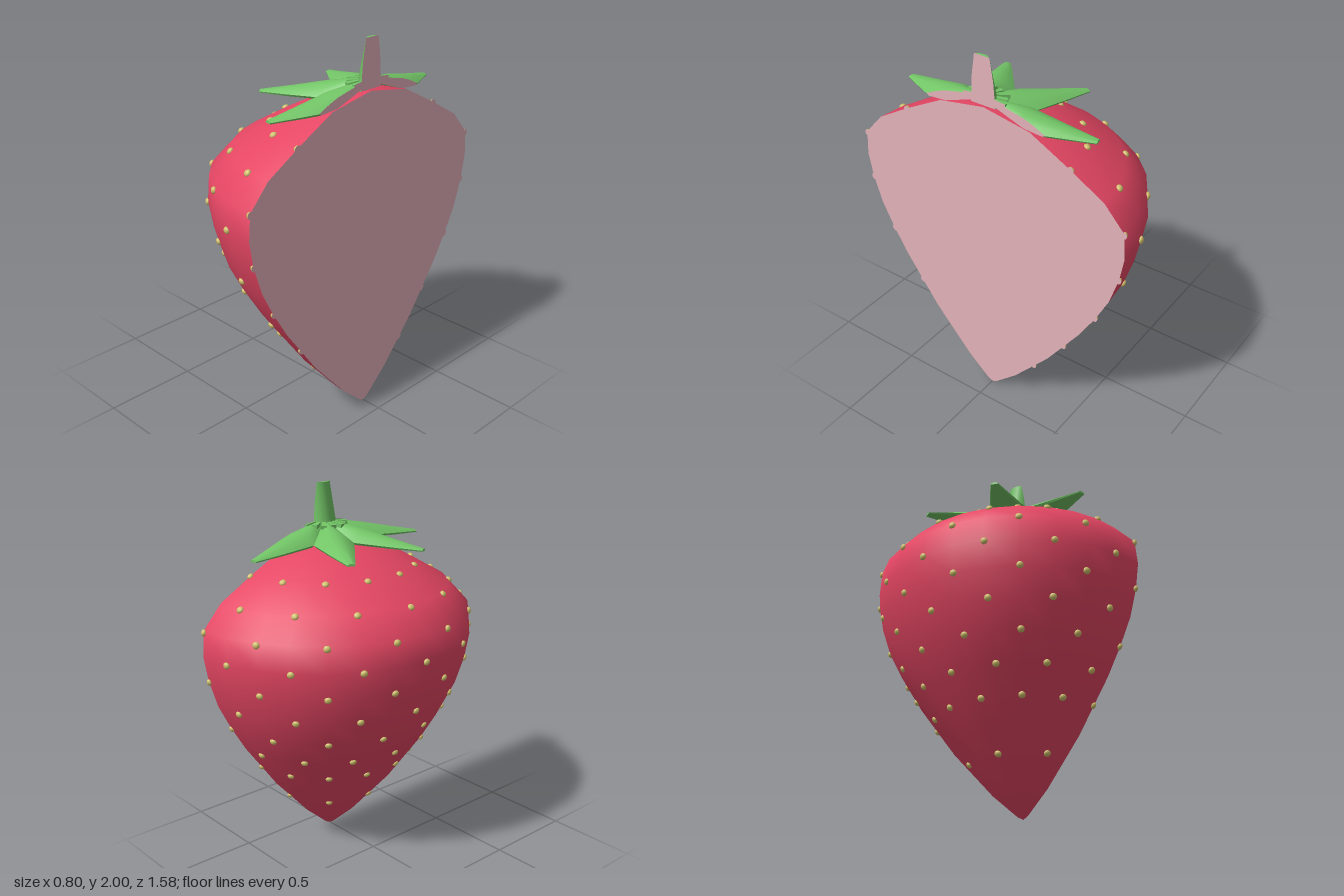
import * as THREE from 'three';
import { mergeGeometries, toCreasedNormals } from 'three/addons/utils/BufferGeometryUtils.js';

const mat = (name, color) => Object.assign(new THREE.MeshStandardMaterial({ color }), { name });
const TAU = Math.PI * 2;

// Berry outline: radius, height
const PROFILE = [[0, 0.005], [0.03, 0.02], [0.16, 0.138], [0.37, 0.378], [0.56, 0.646], [0.645, 0.79],
  [0.715, 0.93], [0.762, 1.08], [0.785, 1.215], [0.775, 1.35], [0.665, 1.472], [0.475, 1.582], [0.26, 1.695], [0, 1.74]];

// Radius and surface tilt of the berry at a height
function surfaceAt(y) {
  const i = PROFILE.findIndex(p => p[1] >= y);
  const [r0, y0] = PROFILE[i - 1], [r1, y1] = PROFILE[i];
  return { r: r0 + (r1 - r0) * (y - y0) / (y1 - y0), tilt: Math.atan2(r0 - r1, y1 - y0) };
}

function makeGeometry(pos, nor) {
  return new THREE.BufferGeometry()
    .setAttribute('position', new THREE.Float32BufferAttribute(pos, 3))
    .setAttribute('normal', new THREE.Float32BufferAttribute(nor, 3));
}

// Cut a solid at x = 0: returns the half with x <= 0 and the flat face that closes it
function slice(geometry) {
  const g = geometry.index ? geometry.toNonIndexed() : geometry;
  const p = g.attributes.position, n = g.attributes.normal, pos = [], nor = [], rim = [];
  const corner = i => [p.getX(i), p.getY(i), p.getZ(i), n.getX(i), n.getY(i), n.getZ(i)];
  const kept = v => v[0] <= 1e-6;
  for (let i = 0; i < p.count; i += 3) {
    const tri = [corner(i), corner(i + 1), corner(i + 2)], poly = [];
    tri.forEach((a, k) => {
      const b = tri[(k + 1) % 3];
      if (kept(a)) poly.push(a);
      if (kept(a) !== kept(b)) {
        const t = a[0] / (a[0] - b[0]);
        const c = a.map((v, j) => v + (b[j] - v) * t);
        poly.push(c);
        rim.push(c);
      }
    });
    for (let k = 1; k + 1 < poly.length; k++) {
      for (const v of [poly[0], poly[k], poly[k + 1]]) {
        pos.push(...v.slice(0, 3));
        nor.push(...v.slice(3));
      }
    }
  }
  // Fan from the middle of the rim, every triangle facing +x
  const face = [], faceNormals = [];
  const cy = rim.reduce((s, v) => s + v[1], 0) / rim.length;
  const cz = rim.reduce((s, v) => s + v[2], 0) / rim.length;
  for (let i = 0; i < rim.length; i += 2) {
    let [a, b] = [rim[i], rim[i + 1]];
    if ((a[1] - cy) * (b[2] - cz) - (a[2] - cz) * (b[1] - cy) < 0) [a, b] = [b, a];
    face.push(0, cy, cz, 0, a[1], a[2], 0, b[1], b[2]);
    faceNormals.push(1, 0, 0, 1, 0, 0, 1, 0, 0);
  }
  return { half: makeGeometry(pos, nor), face: makeGeometry(face, faceNormals) };
}

// One leaf along +x: domed cross-sections with a flat underside
function leafGeometry() {
  // distance, half width, ridge height, edge height, thickness of the edge
  const stations = [[0.03, 0.014, 1.8, 1.785, 0.012], [0.12, 0.058, 1.788, 1.752, 0.012],
    [0.22, 0.106, 1.77, 1.716, 0.012], [0.4, 0.062, 1.728, 1.7, 0.01], [0.56, 0.02, 1.694, 1.687, 0.006]];
  const pos = [], index = [], top = 6, loop = top + 3;
  for (const [x, w, ridge, edge, thick] of stations) {
    for (let k = 0; k <= top; k++) {
      const u = k / top * 2 - 1;
      pos.push(x, edge + (ridge - edge) * (1 - u * u), u * w);
    }
    pos.push(x, edge - thick, w * 0.9, x, edge - thick, -w * 0.9);
  }
  for (let i = 0; i + 1 < stations.length; i++) {
    for (let k = 0; k < loop; k++) {
      const a = i * loop + k, b = i * loop + (k + 1) % loop;
      index.push(a, b, a + loop, b, b + loop, a + loop);
    }
  }
  // Close the tip and the root
  const tip = (stations.length - 1) * loop;
  for (let k = 1; k + 1 < loop; k++) index.push(tip, tip + k, tip + k + 1, 0, k + 1, k);
  const g = new THREE.BufferGeometry().setAttribute('position', new THREE.Float32BufferAttribute(pos, 3));
  g.setIndex(index);
  return toCreasedNormals(g, 0.7);
}

export function createModel() {
  const red = mat('berry red', 0xe54663);
  const green = mat('leaf green', 0x72c466);
  const yellow = mat('seed yellow', 0xd0c06c);
  const pink = mat('cut pink', 0xe4b2bb);

  const model = new THREE.Group();
  model.name = 'halfStrawberry';
  model.position.x = 0.39;
  const cutFaces = [];

  const addMesh = (name, geometry, material) => {
    const mesh = new THREE.Mesh(geometry, material);
    mesh.name = name;
    model.add(mesh);
  };

  // Slice each solid of a part, keeping its cut face for the pale cross-section
  function addPart(name, solids, material) {
    const cuts = solids.map(slice);
    addMesh(name, mergeGeometries(cuts.map(c => c.half)), material);
    cutFaces.push(...cuts.map(c => c.face).filter(f => f.attributes.position.count > 0));
  }

  // Berry
  const points = PROFILE.map(([r, y]) => new THREE.Vector2(r, y));
  addPart('berry', [new THREE.LatheGeometry(points, 28)], red);

  // Flattened seeds in staggered rings, the lowest ring sparser
  const seeds = [];
  const addSeed = (y, a) => {
    const { r, tilt } = surfaceAt(y);
    seeds.push(new THREE.SphereGeometry(0.019, 10, 8).scale(0.7, 0.95, 1).rotateZ(tilt).rotateY(Math.PI + a)
      .translate(-Math.cos(a) * r, y, Math.sin(a) * r));
  };
  [1.577, 1.467, 1.342, 1.212, 1.077, 0.932, 0.787, 0.647, 0.513].forEach((y, row) => {
    for (let i = 0; i < 14; i++) addSeed(y, (i + (row % 2 ? 0 : 0.5)) * TAU / 14);
  });
  for (let i = 0; i < 7; i++) addSeed(0.278, TAU / 28 + i * TAU / 7);
  addPart('seeds', seeds, yellow);

  // Star of seven leaves
  const leaves = [];
  for (let i = 0; i < 7; i++) leaves.push(leafGeometry().rotateY(Math.PI + (i + 0.5) * TAU / 7));
  addPart('leaves', leaves, green);

  // Small wedges around the foot of the stem, wider at the outer end
  const wedges = [];
  for (let i = 0; i < 14; i++) {
    const wedge = new THREE.BoxGeometry(0.08, 0.02, 0.03);
    const p = wedge.attributes.position;
    for (let k = 0; k < p.count; k++) if (p.getX(k) < 0) p.setZ(k, p.getZ(k) * 0.5);
    wedges.push(wedge.rotateZ(-0.12).translate(i % 2 ? 0.085 : 0.075, 1.787, 0).rotateY((i + 0.5) * TAU / 14));
  }
  addPart('stemWedges', wedges, green);

  // Stem, leaning past the cut
  const stem = new THREE.CylinderGeometry(0.062, 0.07, 0.25, 16);
  const p = stem.attributes.position;
  for (let i = 0; i < p.count; i++) p.setX(i, p.getX(i) + 0.045 * (p.getY(i) / 0.25 + 0.5));
  addPart('stem', [stem.translate(0, 1.875, 0)], green);

  // Pale flat cross-section through everything
  addMesh('cutFace', mergeGeometries(cutFaces), pink);

  const root = new THREE.Group();
  root.name = 'strawberry';
  root.add(model);
  return root;
}
